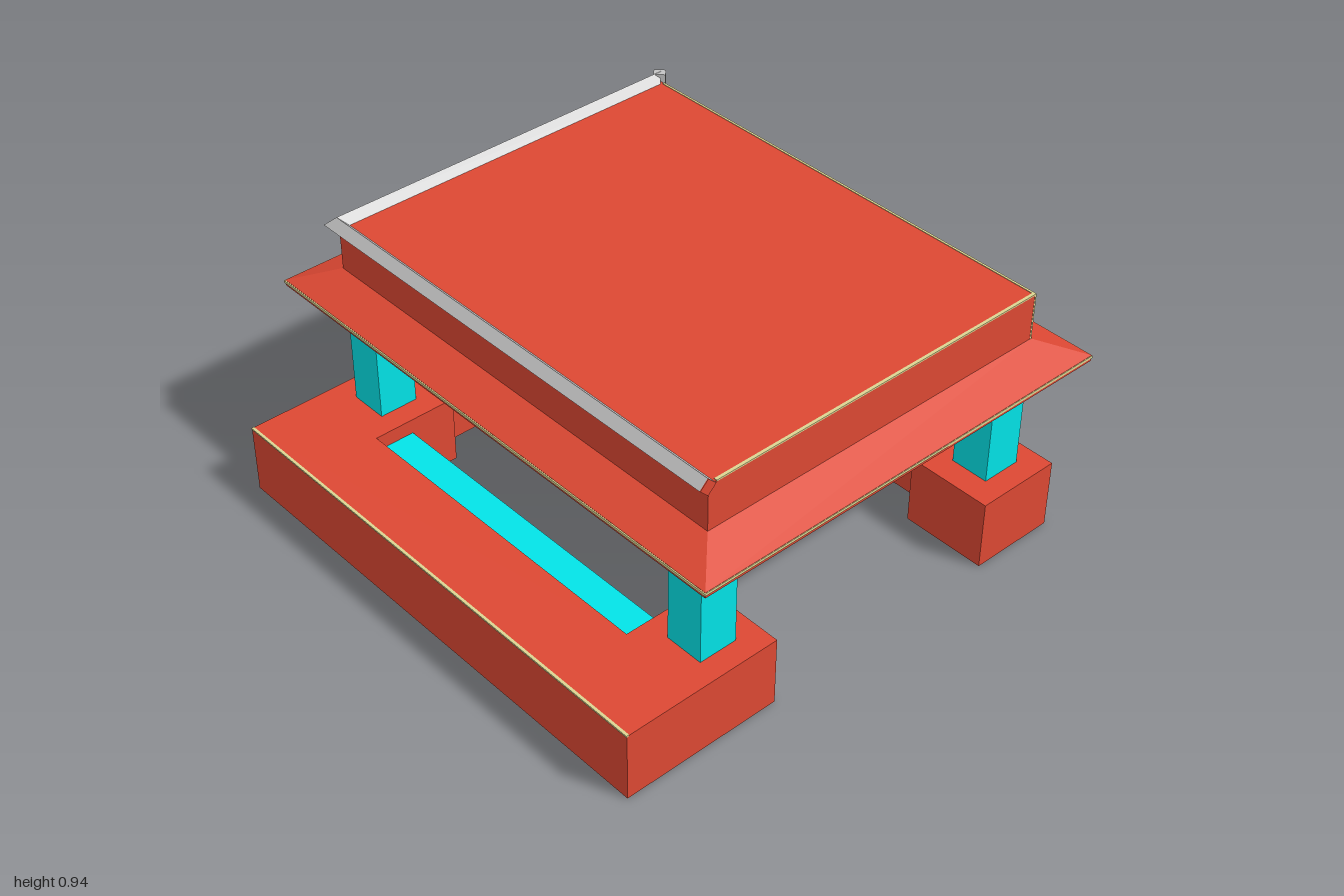
import * as THREE from 'three';

const paint = (name, color) => {
  const m = new THREE.MeshStandardMaterial({ color });
  m.name = name;
  return m;
};

const outline = (points) => new THREE.Shape(points.map(([x, y]) => new THREE.Vector2(x, y)));

// Hollow prism over an outline of [x, z] corners: walls and top, open underneath
function shell(points, height) {
  const solid = new THREE.ExtrudeGeometry(outline(points.map(([x, z]) => [x, -z])), { depth: height, bevelEnabled: false });
  solid.rotateX(-Math.PI / 2);
  const p = solid.attributes.position, n = solid.attributes.normal, kept = [];
  for (let i = 0; i < p.count; i++) if (n.getY(i) > -0.5) kept.push(p.getX(i), p.getY(i), p.getZ(i));
  const g = new THREE.BufferGeometry();
  g.setAttribute('position', new THREE.Float32BufferAttribute(kept, 3));
  g.computeVertexNormals();
  return g;
}

const rect = (x0, x1, z0, z1) => [[x0, z1], [x1, z1], [x1, z0], [x0, z0]];

// Flat-sided bar through a row of four-cornered sections
function loft(sections) {
  const v = [];
  for (let s = 0; s < sections.length - 1; s++) {
    for (let i = 0; i < 4; i++) {
      const j = (i + 1) % 4, a = sections[s], b = sections[s + 1];
      v.push(...a[i], ...a[j], ...b[j], ...a[i], ...b[j], ...b[i]);
    }
  }
  const end = sections[sections.length - 1];
  v.push(...end[0], ...end[1], ...end[2], ...end[0], ...end[2], ...end[3]);
  const g = new THREE.BufferGeometry();
  g.setAttribute('position', new THREE.Float32BufferAttribute(v, 3));
  g.computeVertexNormals();
  return g;
}

export function createModel() {
  const model = new THREE.Group();
  model.name = 'louvredShelter';
  const red = paint('brickRed', 0xdd4833);
  red.side = THREE.DoubleSide;
  const teal = paint('teal', 0x02e4e8);
  const grey = paint('gutterGrey', 0xc4c4c4);
  const cream = paint('trimCream', 0xdcd492);

  const add = (name, geometry, material) => {
    const mesh = new THREE.Mesh(geometry, material);
    mesh.name = name;
    model.add(mesh);
    return mesh;
  };

  // Box given by its limits on each axis
  const block = (name, mat, x0, x1, y0, y1, z0, z1) =>
    add(name, new THREE.BoxGeometry(x1 - x0, y1 - y0, z1 - z0), mat)
      .position.set((x0 + x1) / 2, (y0 + y1) / 2, (z0 + z1) / 2);

  // Hollow base: a bracket-shaped wall on the right, footings and beams elsewhere; the front is open
  add('rightBase', shell([
    [-0.93, 0.93], [-0.35, 0.93], [-0.35, 0.62], [-0.66, 0.62],
    [-0.66, -0.6], [-0.35, -0.6], [-0.35, -0.91], [-0.93, -0.91],
  ], 0.25), red);
  add('frontLeftFooting', shell(rect(0.55, 0.865, 0.62, 0.93), 0.25), red);
  add('backLeftFooting', shell(rect(0.55, 0.865, -0.91, -0.6), 0.25), red);
  add('leftBeam', shell(rect(0.65, 0.785, -0.6, 0.62), 0.25), red);
  add('backBeam', shell(rect(-0.35, 0.55, -0.83, -0.69), 0.225), red);
  block('baseEdgeTrim', cream, -0.932, -0.922, 0.246, 0.252, -0.91, 0.93);

  // Posts
  for (const [end, z0, z1] of [['front', 0.71, 0.85], ['back', -0.82, -0.68]]) {
    block(end + 'RightPost', teal, -0.58, -0.44, 0.25, 0.69, z0, z1);
    block(end + 'LeftPost', teal, 0.64, 0.785, 0.25, 0.69, z0, z1);
  }

  // Louvre slats: a tall stack on the left, a low one inside the right wall
  for (let i = 0; i < 7; i++) {
    const y = 0.335 + i * 0.0418;
    block('leftSlat', teal, 0.642, 0.778, y, y + 0.022, -0.6, 0.625);
  }
  for (let i = 0; i < 4; i++) {
    const y = 0.05 + i * 0.0418;
    block('rightSlat', teal, -0.66, -0.518, y, y + 0.022, -0.6, 0.62);
  }

  // Roof: eave slab with thin trim, sloping skirt, flat-topped block
  const E = { x0: -0.705, x1: 0.9, z0: -0.972, z1: 0.998 };
  const T = { x0: -0.57, x1: 0.77, z0: -0.84, z1: 0.86 };
  block('eave', red, E.x0, E.x1, 0.678, 0.698, E.z0, E.z1);
  block('eaveTrim', cream, E.x0 - 0.004, E.x1 + 0.002, 0.688, 0.697, E.z0 - 0.002, E.z1 + 0.002);
  const skirt = new THREE.BoxGeometry(1, 1, 1);
  const p = skirt.attributes.position;
  for (let i = 0; i < p.count; i++) {
    const top = p.getY(i) > 0, r = top ? T : E;
    p.setXYZ(i, p.getX(i) > 0 ? r.x1 : r.x0, top ? 0.75 : 0.698, p.getZ(i) > 0 ? r.z1 : r.z0);
  }
  skirt.computeVertexNormals();
  add('roofSkirt', skirt, red);
  block('roofBlock', red, T.x0, T.x1, 0.745, 0.915, T.z0, T.z1);
  block('roofFrontTrim', cream, T.x0 + 0.03, T.x1, 0.912, 0.917, T.z1 - 0.01, T.z1 + 0.001);
  block('roofLeftTrim', cream, T.x1 - 0.007, T.x1 + 0.001, 0.912, 0.917, T.z0 + 0.03, T.z1);
  block('roofCornerTrim', cream, T.x1 - 0.005, T.x1 + 0.001, 0.75, 0.915, T.z1 - 0.006, T.z1 + 0.001);

  // Gutter bar set on edge, mitred round the back right corner of the roof top
  const gx = -0.575, gy = 0.913, gz = -0.842, d = 0.03;
  const section = (place) => [[-d, 0], [0, d], [d, 0], [0, -d]].map(([h, v]) => place(h, gy + v));
  const frontEnd = section((h, y) => [gx + h, y, 0.862]);
  const corner = section((h, y) => [gx + h, y, gz + h]);
  const backEnd = section((h, y) => [0.785 - h, y, gz + h]);
  const gutter = add('gutter', loft([frontEnd, corner, backEnd]), grey);
  gutter.material.side = THREE.DoubleSide;
  add('gutterEndCap', loft([section((h, y) => [gx + h, y, 0.86]), frontEnd.map(([x, y]) => [x, y, 0.865])]), red);

  // Downpipe: bent upper length running out over the corner, then a straight drop
  const width = 0.042;
  const bend = new THREE.ExtrudeGeometry(outline([
    [-0.017, 0.942], [0.017, 0.942], [0.017, 0.768], [0.185, 0.718], [0.185, 0.69], [0.15, 0.69], [-0.017, 0.738],
  ]), { depth: width, bevelEnabled: false });
  bend.translate(0, 0, -width / 2).rotateY(Math.PI / 4);
  add('upperDownpipe', bend, grey).position.set(0.778, 0, -0.841);
  block('lowerDownpipe', grey, 0.877, 0.925, 0.527, 0.712, -0.997, -0.95);

  return model;
}
